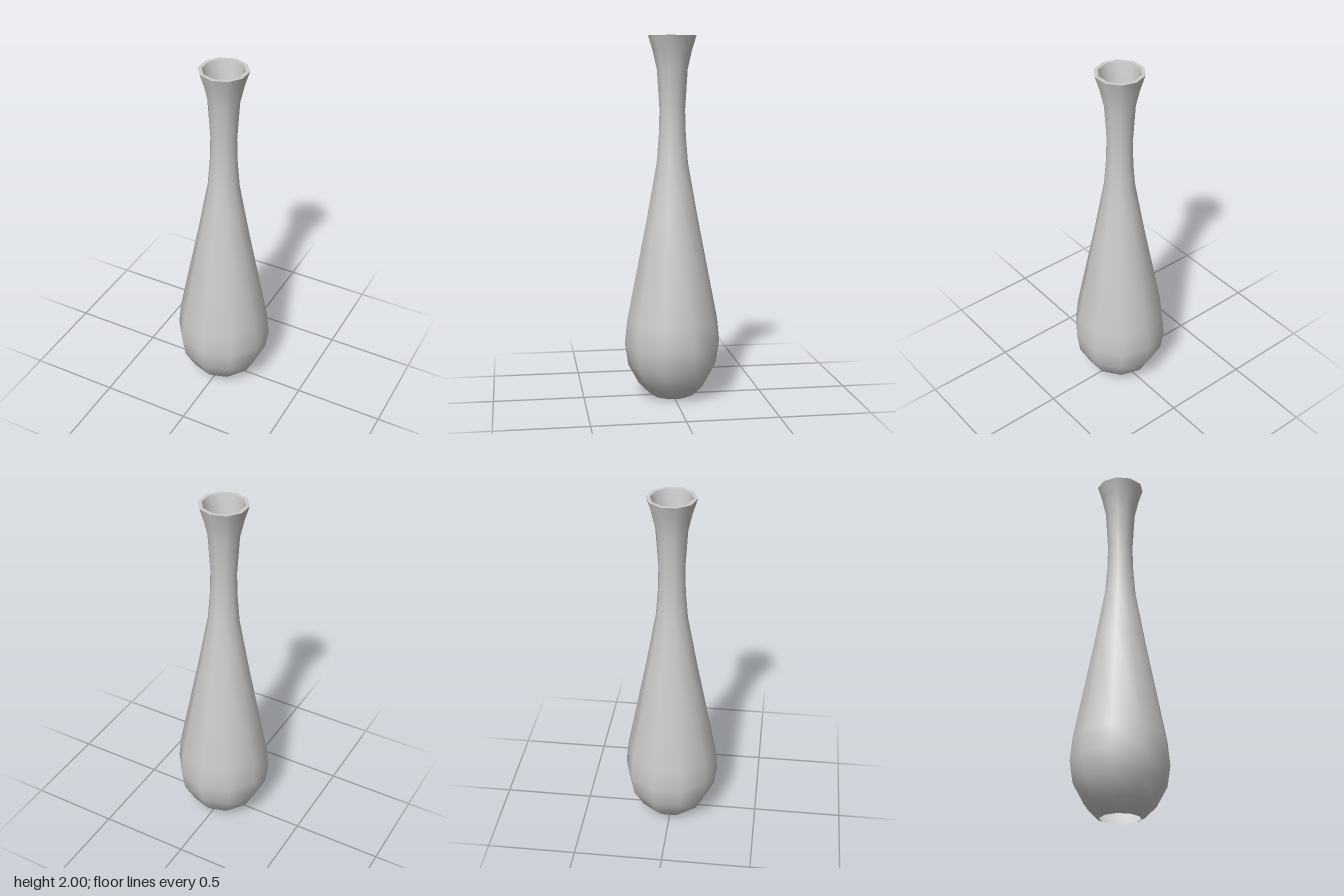
import * as THREE from 'three';
import { toCreasedNormals } from 'three/addons/utils/BufferGeometryUtils.js';

const SIDES = 10;

// Outer wall, bottom to top: [radius, height]
const OUTER = [
  [0.11, 0], [0.13, 0.01], [0.19, 0.07], [0.25, 0.18], [0.268, 0.3], [0.255, 0.43],
  [0.143, 1.0], [0.087, 1.31], [0.075, 1.46], [0.071, 1.6], [0.085, 1.82], [0.108, 1.92], [0.133, 2],
];

// Inner wall, top to bottom, meeting the outer wall at the open base
const INNER = [
  [0.112, 2], [0.095, 1.92], [0.074, 1.82], [0.063, 1.6], [0.066, 1.46], [0.077, 1.31],
  [0.131, 1.0], [0.243, 0.43], [0.256, 0.3], [0.238, 0.18], [0.178, 0.07], [0.11, 0],
];

export function createModel() {
  const group = new THREE.Group();
  group.name = 'vase';

  // One turned shell: body, neck, flared rim and hollow inside
  const profile = [...OUTER, ...INNER].map(([r, y]) => new THREE.Vector2(r, y));
  const geometry = toCreasedNormals(new THREE.LatheGeometry(profile, SIDES), THREE.MathUtils.degToRad(42));
  const material = new THREE.MeshStandardMaterial({ color: 0xcccccc, side: THREE.DoubleSide });

  const shell = new THREE.Mesh(geometry, material);
  shell.name = 'vaseShell';
  group.add(shell);
  return group;
}
